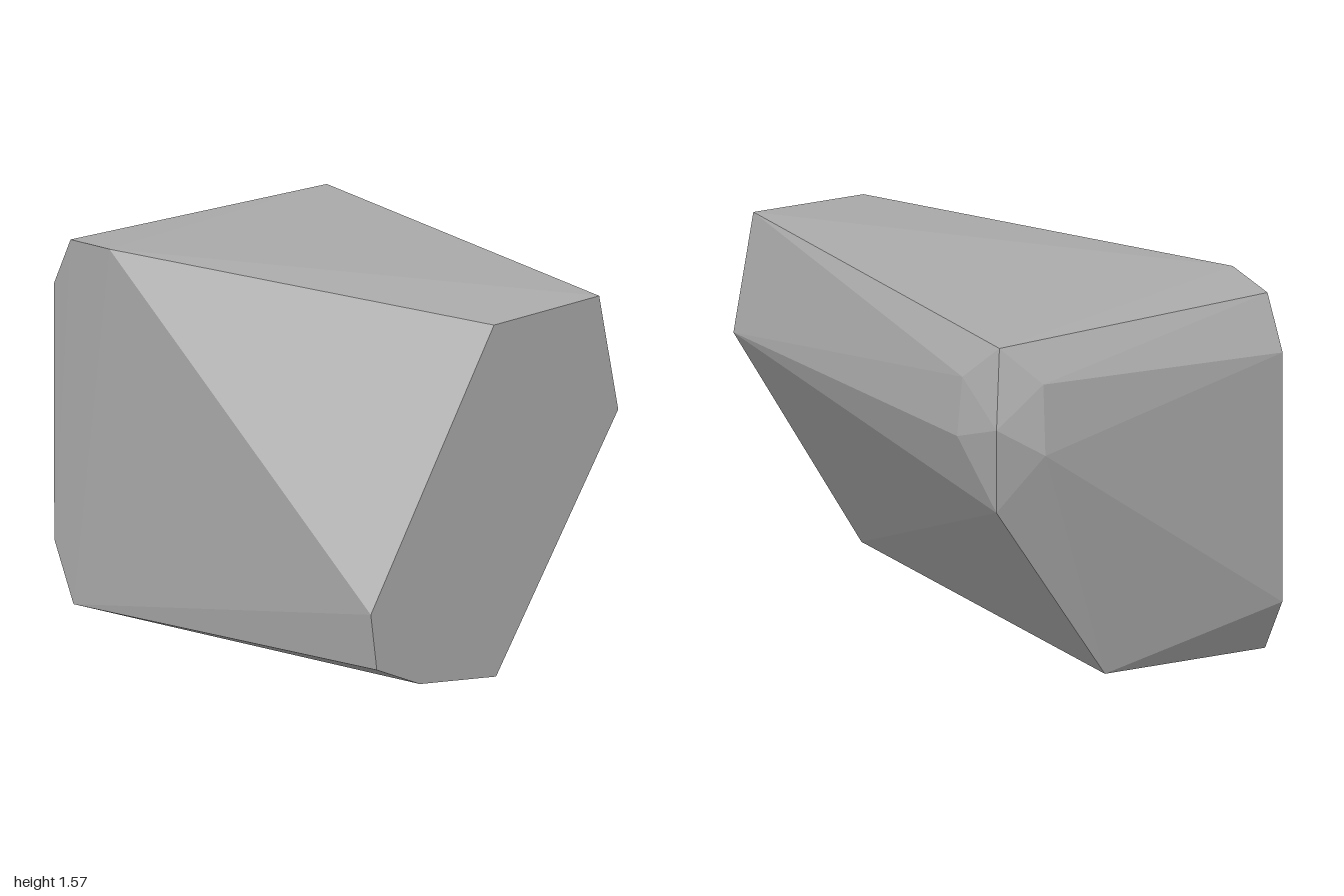
import * as THREE from 'three';
import { ConvexGeometry } from 'three/addons/geometries/ConvexGeometry.js';

export function createModel() {
  const stone = new THREE.MeshStandardMaterial({ color: 0xaaaaaa });
  stone.name = 'stone grey';
  stone.flatShading = true;

  // flat cut end at x = 1, as [y, z]
  const cutEnd = [
    [1.525, -0.07], [1.55, -0.595], [1.05, -0.69], [0.03, -0.08],
    [0.07, 0.3], [0.17, 0.515], [0.41, 0.545],
  ].map(([y, z]) => [1, y, z]);

  // front face outline
  const front = [
    [-0.61, 1.57, 0.685], [-0.88, 1.54, 0.683], [-1, 1.32, 0.68],
    [-0.985, 0.24, 0.688], [-0.85, 0, 0.69],
  ];

  // chipped back corner and lower back edge
  const back = [
    [-0.865, 1.54, -0.585], [-0.71, 1.385, -0.665], [-0.71, 1.135, -0.69],
    [-0.915, 1.21, -0.63], [-0.85, 0.828, -0.59], [-1, 1.093, -0.45],
    [-0.968, 1.388, -0.44], [-0.845, 0.033, -0.07],
  ];

  // the rock is the convex hull of its corners
  const corners = [...cutEnd, ...front, ...back].map((p) => new THREE.Vector3(...p));
  const rock = new THREE.Mesh(new ConvexGeometry(corners), stone);
  rock.name = 'rock';

  const group = new THREE.Group();
  group.name = 'boulder';
  group.add(rock);
  return group;
}
